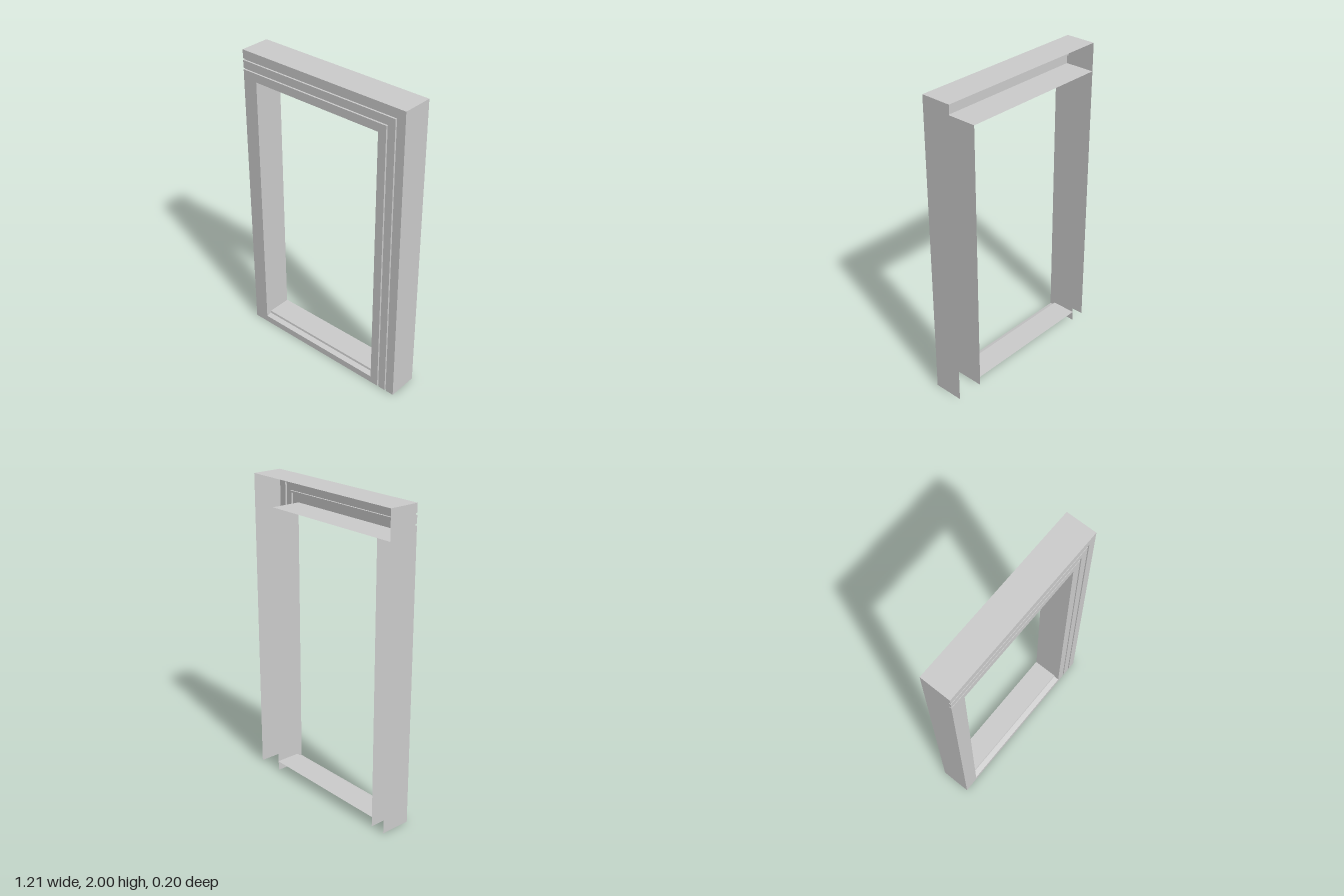
import * as THREE from 'three';

const W = 0.605, H = 2, D = 0.1;      // half width, height, half depth
const TRIM = 0.182;                   // width of the grooved trim
const JAMB = -0.503;                  // inner face of the plain jamb

const material = new THREE.MeshStandardMaterial({
  color: 0xcccccc, flatShading: true, side: THREE.DoubleSide,
});

function addMesh(group, name, geometry) {
  const mesh = new THREE.Mesh(geometry, material);
  mesh.name = name;
  group.add(mesh);
}

// Open shell: every profile point is carried through each station.
function sweep(profile, stations) {
  const positions = [];
  for (let j = 0; j < stations.length - 1; j++) {
    for (let i = 0; i < profile.length - 1; i++) {
      const a = stations[j](...profile[i]);
      const b = stations[j](...profile[i + 1]);
      const c = stations[j + 1](...profile[i + 1]);
      const d = stations[j + 1](...profile[i]);
      positions.push(...a, ...b, ...c, ...a, ...c, ...d);
    }
  }
  const geometry = new THREE.BufferGeometry();
  geometry.setAttribute('position', new THREE.Float32BufferAttribute(positions, 3));
  geometry.computeVertexNormals();
  return geometry;
}

export function createModel() {
  const group = new THREE.Group();
  group.name = 'doorFrame';

  // Trim section as [distance from outer edge, z], with two shallow grooves
  const section = [[0, -D], [0, D]];
  for (const [start, end] of [[0.055, 0.067], [0.116, 0.127]]) {
    section.push([start, D], [start, D - 0.012], [end, D - 0.012], [end, D]);
  }
  section.push([TRIM, D], [TRIM, -D]);

  // Grooved head and side jamb, mitred at the upper corner
  addMesh(group, 'headAndGroovedJamb', sweep(section, [
    (o, z) => [-W, H - o, z],
    (o, z) => [W - o, H - o, z],
    (o, z) => [W - o, 0, z],
  ]));

  // Cap closing the square end of the head
  const capShape = new THREE.Shape(section.map(([o, z]) => new THREE.Vector2(z, H - o)));
  const cap = new THREE.ShapeGeometry(capShape);
  cap.rotateY(-Math.PI / 2);
  cap.translate(-W, 0, 0);
  addMesh(group, 'headEndCap', cap);

  // Plain jamb, open at the back
  addMesh(group, 'plainJamb', sweep(
    [[-W, -D], [-W, D], [JAMB, D], [JAMB, -D]],
    [(x, z) => [x, 0, z], (x, z) => [x, H - TRIM, z]],
  ));

  // Sill with a sloped nose and a small step, as [y, z]
  addMesh(group, 'sill', sweep(
    [[0, D], [0.045, D], [0.053, 0.065], [0.067, 0.062], [0.067, -D - 0.002]],
    [(y, z) => [W - TRIM, y, z], (y, z) => [JAMB, y, z]],
  ));

  return group;
}
